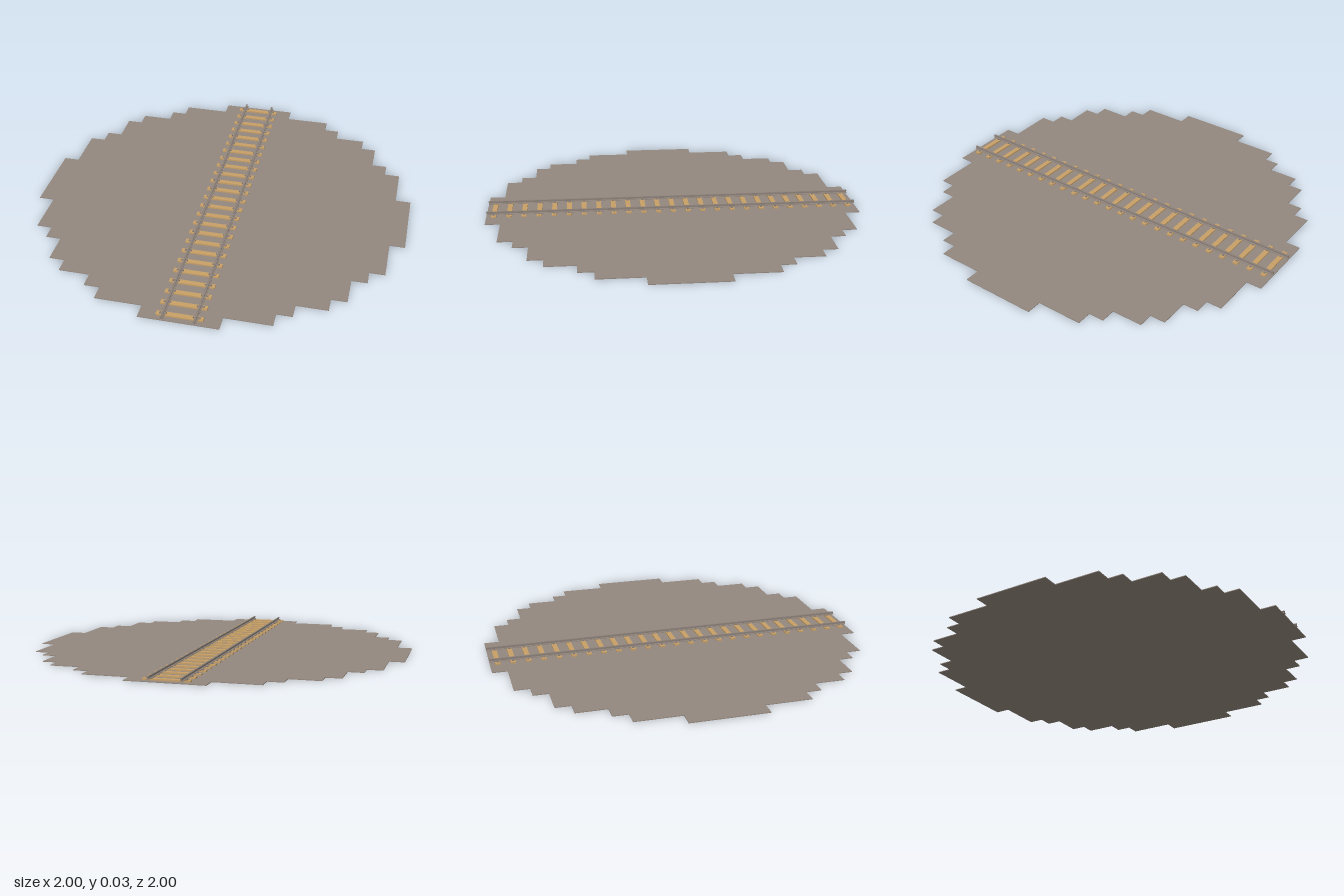
import * as THREE from 'three';

const ground = new THREE.MeshStandardMaterial({ name: 'gravel grey brown', color: 0x94887f });
const wood = new THREE.MeshStandardMaterial({ name: 'sleeper tan', color: 0xc8a066 });
const steel = new THREE.MeshStandardMaterial({ name: 'rail grey', color: 0x8c8179 });

function box(name, material, size, position) {
  const mesh = new THREE.Mesh(new THREE.BoxGeometry(...size), material);
  mesh.name = name;
  mesh.position.set(...position);
  return mesh;
}

// Extrude a profile by depth, centred on its extrusion axis
function extrude(name, material, points, depth) {
  const shape = new THREE.Shape(points.map(([x, y]) => new THREE.Vector2(x, y)));
  const geometry = new THREE.ExtrudeGeometry(shape, { depth, bevelEnabled: false });
  geometry.translate(0, 0, -depth / 2);
  const mesh = new THREE.Mesh(geometry, material);
  mesh.name = name;
  return mesh;
}

export function createModel() {
  const model = new THREE.Group();
  model.name = 'trackOnRoundGround';

  // Stepped disc: one quarter of the outline, turned four times
  const quarter = [
    [1, -0.2], [1, 0.2], [0.92, 0.2], [0.92, 0.44], [0.84, 0.44], [0.84, 0.52],
    [0.76, 0.52], [0.76, 0.68], [0.68, 0.68], [0.68, 0.76], [0.52, 0.76], [0.52, 0.84],
    [0.44, 0.84], [0.44, 0.92], [0.2, 0.92],
  ];
  const outline = [];
  for (let turn = 0; turn < 4; turn++) {
    for (const [x, y] of quarter) {
      outline.push([[x, y], [-y, x], [-x, -y], [y, -x]][turn]);
    }
  }
  const thick = 0.004;
  const disc = extrude('ground', ground, outline, thick);
  disc.rotation.x = -Math.PI / 2;
  disc.position.y = thick / 2;
  model.add(disc);

  // Rails with a foot, web and head
  const half = [[0.009, 0.012], [0.009, 0.014], [0.002, 0.016], [0.002, 0.022], [0.005, 0.023], [0.005, 0.027]];
  const profile = [...half, ...half.map(([x, y]) => [-x, y]).reverse()];
  for (const side of [-1, 1]) {
    const rail = extrude(side > 0 ? 'leftRail' : 'rightRail', steel, profile, 2);
    rail.position.x = side * 0.08;
    model.add(rail);
  }

  // Sleepers, each with a fastening plate and two clamps under either rail
  for (let i = -12; i <= 12; i++) {
    const sleeper = new THREE.Group();
    sleeper.name = 'sleeper';
    sleeper.position.z = i * 0.08;
    sleeper.add(box('beam', wood, [0.232, 0.008, 0.026], [0, 0.008, 0]));
    for (const side of [-1, 1]) {
      sleeper.add(box('railPlate', steel, [0.036, 0.002, 0.012], [side * 0.083, 0.0125, 0]));
      for (const offset of [-0.014, 0.016]) {
        sleeper.add(box('railClamp', steel, [0.005, 0.005, 0.008], [side * (0.08 + offset), 0.0155, 0]));
      }
    }
    model.add(sleeper);
  }
  return model;
}
